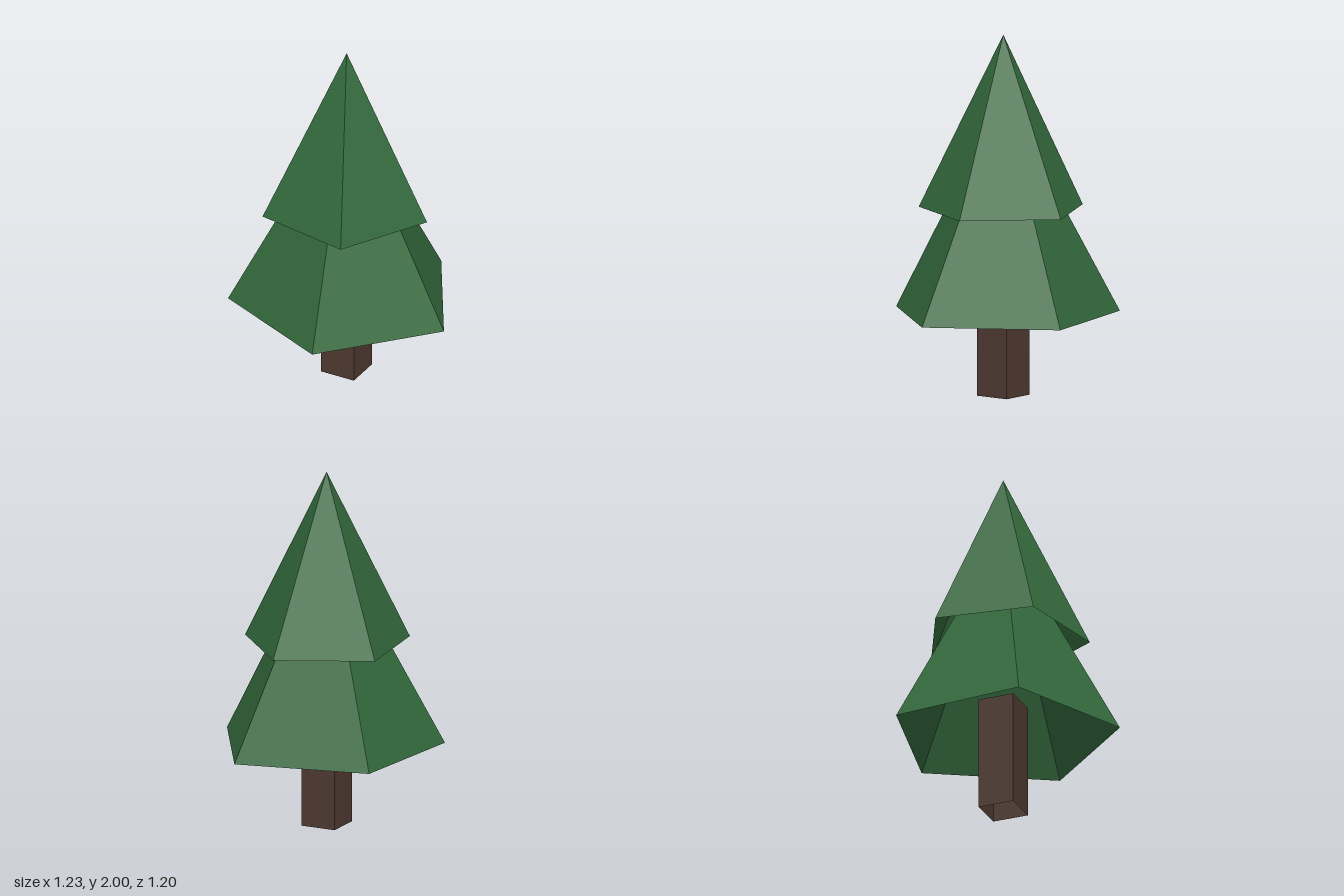
import * as THREE from 'three';

const CENTRE_X = 0.01;
const CENTRE_Z = 0.05;

function material(name, color) {
  const m = new THREE.MeshStandardMaterial({ color, flatShading: true, side: THREE.DoubleSide });
  m.name = name;
  return m;
}

export function createModel() {
  const tree = new THREE.Group();
  tree.name = 'pineTree';
  const needles = material('needleGreen', 0x33693c);
  const bark = material('barkBrown', 0x4f3a31);

  // Every part is an open-ended sided shell, standing on its own base height
  const addShell = (name, mat, { top, radius, base, height, sides, turn }) => {
    const geometry = new THREE.CylinderGeometry(
      top, radius, height, sides, 1, true, THREE.MathUtils.degToRad(turn));
    const mesh = new THREE.Mesh(geometry, mat);
    mesh.name = name;
    mesh.position.set(CENTRE_X, base + height / 2, CENTRE_Z);
    tree.add(mesh);
  };

  // Square trunk set cornerwise, reaching up inside the lower branches
  addShell('trunk', bark, { top: 0.145, radius: 0.145, base: 0, height: 0.65, sides: 4, turn: 0 });

  // Two five-sided hollow tiers, turned against each other
  addShell('lowerBranches', needles, { top: 0, radius: 0.65, base: 0.45, height: 1.22, sides: 5, turn: 39.5 });
  addShell('upperBranches', needles, { top: 0, radius: 0.475, base: 1.03, height: 0.97, sides: 5, turn: 52.4 });

  return tree;
}
